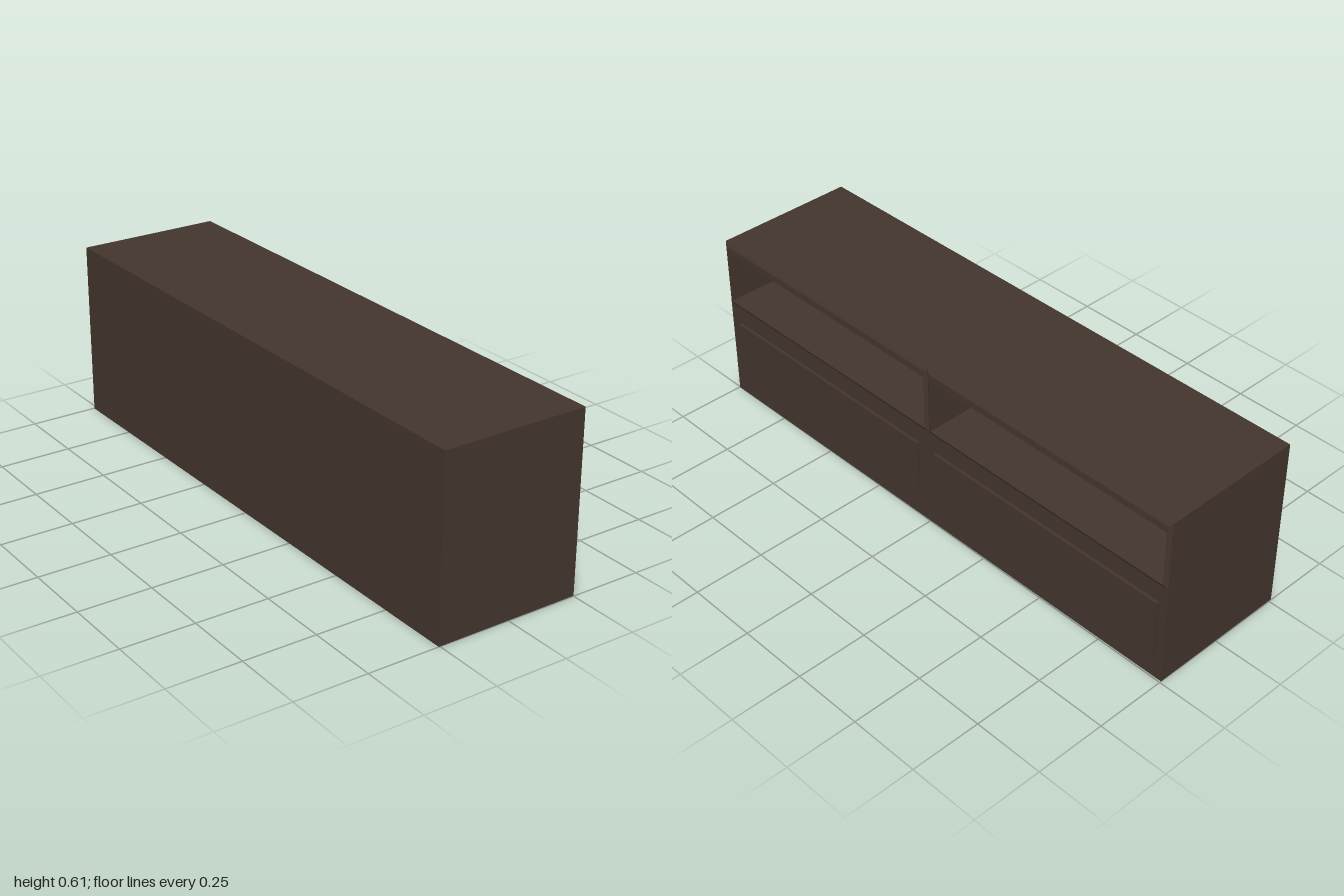
import * as THREE from 'three';

const HALF = 0.999, TOP = 0.612, BACK = -0.258, FRONT = 0.248, LIP = 0.2545, PANEL = 0.012;

// Rectangle as [left, right, bottom, top]
const corners = ([l, r, b, t]) => [[l, b], [r, b], [r, t], [l, t]];

// Skin a series of rectangles, each at its own depth
function loftRects(steps) {
  const pos = [], idx = [];
  steps.forEach(([rect, z]) => corners(rect).forEach(([x, y]) => pos.push(x, y, z)));
  for (let s = 0; s < steps.length - 1; s++) {
    for (let i = 0; i < 4; i++) {
      const a = s * 4 + i, b = s * 4 + (i + 1) % 4;
      idx.push(a, b, b + 4, a, b + 4, a + 4);
    }
  }
  const g = new THREE.BufferGeometry();
  g.setAttribute('position', new THREE.Float32BufferAttribute(pos, 3));
  g.setIndex(idx);
  const flat = g.toNonIndexed();
  flat.computeVertexNormals();
  return flat;
}

export function createModel() {
  const wood = new THREE.MeshStandardMaterial({ color: 0x43352d });
  wood.name = 'darkWood';

  const model = new THREE.Group();
  const cabinet = new THREE.Group();
  cabinet.name = 'cabinet';
  model.add(cabinet);

  const add = (name, geometry, x = 0, y = 0, z = 0) => {
    const mesh = new THREE.Mesh(geometry, wood);
    mesh.name = name;
    mesh.position.set(x, y, z);
    cabinet.add(mesh);
  };

  // Open compartments side by side in the upper half
  const bays = [
    { name: 'left', outer: [-HALF, 0, 0.365, TOP], peak: [-0.987, -0.011, 0.378, 0.6], hole: [-0.984, -0.013, 0.379, 0.576] },
    { name: 'right', outer: [0, HALF, 0.365, TOP], peak: [0.011, 0.987, 0.378, 0.6], hole: [0.013, 0.984, 0.379, 0.576] },
  ];

  // Carcass with the compartments cut through, closed by a back panel
  const face = new THREE.Shape(corners([-HALF, HALF, 0, TOP]).map(p => new THREE.Vector2(...p)));
  bays.forEach(({ hole }) =>
    face.holes.push(new THREE.Path(corners(hole).map(p => new THREE.Vector2(...p)))));
  add('carcass', new THREE.ExtrudeGeometry(face, { depth: FRONT - BACK - PANEL, bevelEnabled: false }), 0, 0, BACK + PANEL);
  add('backPanel', new THREE.BoxGeometry(HALF * 2, TOP, PANEL), 0, TOP / 2, BACK + PANEL / 2);

  // Raised, chamfered frame around each compartment
  bays.forEach(({ name, outer, peak, hole }) =>
    add(name + 'CompartmentFrame', loftRects([[outer, FRONT], [peak, LIP], [hole, LIP], [hole, FRONT]])));

  // Drawer fronts standing proud of the face
  const drawers = [['leftDrawer', -0.952, -0.045, 0.09], ['rightDrawer', 0.028, 0.97, 0.085]];
  drawers.forEach(([name, l, r, b]) =>
    add(name, new THREE.BoxGeometry(r - l, 0.3 - b, 0.021), (l + r) / 2, (b + 0.3) / 2, FRONT));

  // The open side faces +x, very slightly askew
  cabinet.rotation.y = Math.PI / 2 + 0.0037;
  return model;
}
